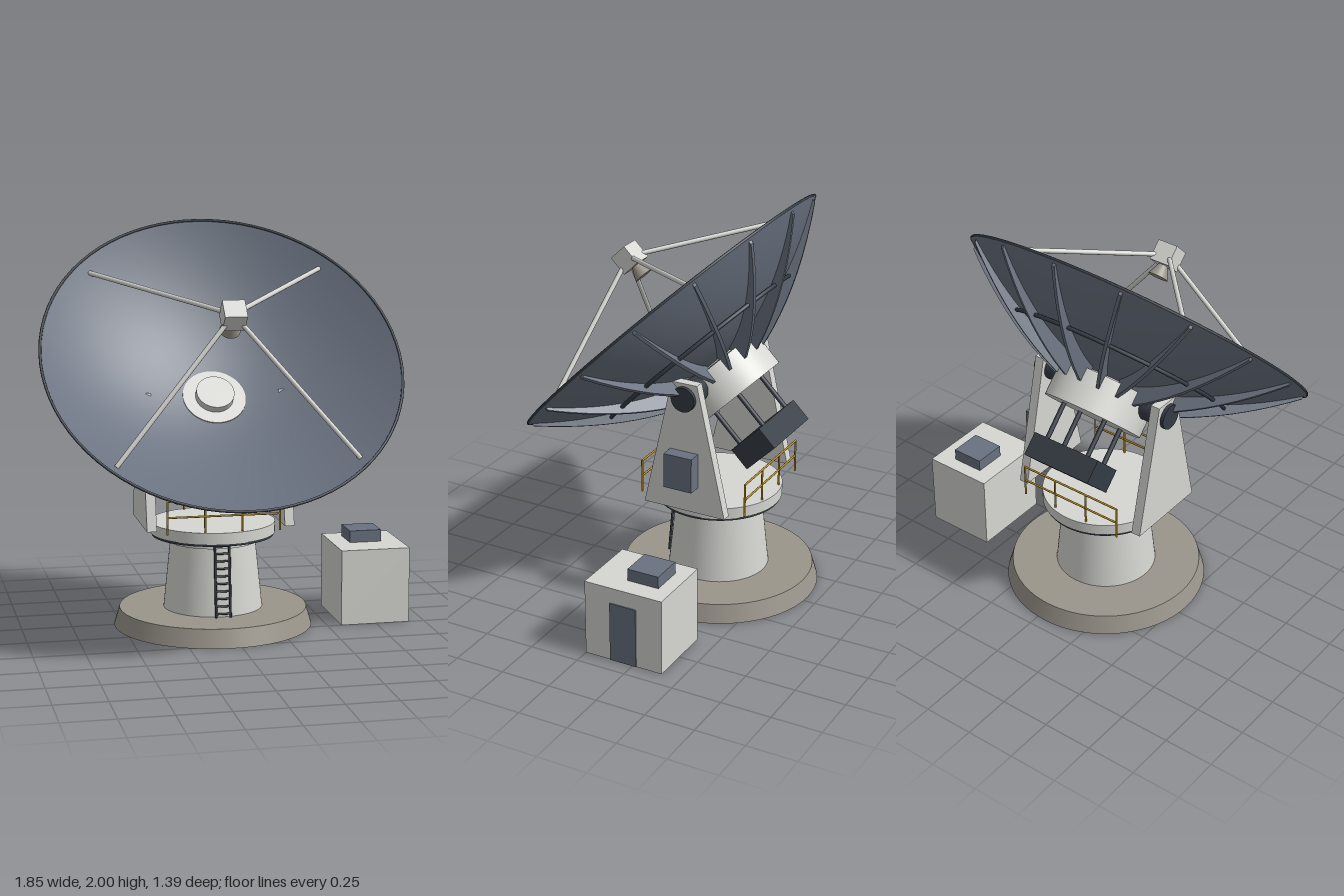
import * as THREE from 'three';

const mat = (name, color, side = THREE.FrontSide) => {
  const m = new THREE.MeshStandardMaterial({ color, side });
  m.name = name;
  return m;
};

export function createModel() {
  const light = mat('light grey paint', 0xd6d6d2);
  const slate = mat('slate', 0x6a7280);
  const dark = mat('dark steel', 0x343b43);
  const concrete = mat('concrete', 0x9a958b);
  const yellow = mat('railing yellow', 0xb58c1e);

  const root = new THREE.Group();
  root.name = 'dishAntenna';
  const group = (name, parent, x = 0, y = 0, z = 0) => {
    const g = new THREE.Group();
    g.name = name;
    g.position.set(x, y, z);
    parent.add(g);
    return g;
  };
  const add = (parent, name, geo, material, x = 0, y = 0, z = 0) => {
    const m = new THREE.Mesh(geo, material);
    m.name = name;
    m.position.set(x, y, z);
    parent.add(m);
    return m;
  };
  const box = (parent, name, material, w, h, d, x, y, z) =>
    add(parent, name, new THREE.BoxGeometry(w, h, d), material, x, y, z);
  // Upright cylinder between two heights
  const drum = (parent, name, material, rBottom, rTop, y0, y1) =>
    add(parent, name, new THREE.CylinderGeometry(rTop, rBottom, y1 - y0, 64), material, 0, (y0 + y1) / 2, 0);
  // Round bar between two points
  const bar = (parent, name, material, a, b, r) => {
    const p = new THREE.Vector3(...a), q = new THREE.Vector3(...b);
    const d = q.clone().sub(p);
    const m = add(parent, name, new THREE.CylinderGeometry(r, r, d.length(), 10), material);
    m.position.copy(p).add(q).multiplyScalar(0.5);
    m.quaternion.setFromUnitVectors(new THREE.Vector3(0, 1, 0), d.normalize());
    return m;
  };

  // Pedestal
  const mount = group('mount', root, -0.045, 0, -0.198);
  drum(mount, 'foundation', concrete, 0.495, 0.468, 0, 0.09);
  drum(mount, 'column', light, 0.247, 0.212, 0.09, 0.43);
  drum(mount, 'collar', light, 0.222, 0.222, 0.425, 0.458);
  drum(mount, 'slewRing', dark, 0.304, 0.304, 0.456, 0.47);
  drum(mount, 'platform', light, 0.31, 0.31, 0.468, 0.524);

  // Ladder leaning on the column
  const ladder = group('ladder', mount);
  for (const s of [-1, 1]) bar(ladder, 'ladderRail', dark, [s * 0.036, 0.09, 0.262], [s * 0.036, 0.46, 0.23], 0.006);
  for (let i = 0; i < 10; i++) {
    const t = (i + 0.5) / 10, y = 0.09 + 0.37 * t, z = 0.262 - 0.032 * t;
    bar(ladder, 'rung', dark, [-0.036, y, z], [0.036, y, z], 0.005);
  }

  // Front and back railings
  for (const z of [-0.278, 0.278]) {
    const rail = group('railing', mount, 0, 0, z);
    for (let i = 0; i < 4; i++) {
      const x = -0.278 + i * 0.1853;
      bar(rail, 'railPost', yellow, [x, 0.52, 0], [x, 0.685, 0], 0.005);
    }
    for (const y of [0.604, 0.684]) bar(rail, 'railBar', yellow, [-0.28, y, 0], [0.28, y, 0], 0.005);
  }

  // Yoke arms with trunnions
  const armShape = new THREE.Shape([[-0.215, 0.524], [0.215, 0.524], [0.067, 1.182], [-0.067, 1.182]]
    .map(p => new THREE.Vector2(...p)));
  const armGeo = new THREE.ExtrudeGeometry(armShape, { depth: 0.048, bevelEnabled: false });
  armGeo.translate(0, 0, -0.024).rotateY(Math.PI / 2);
  for (const s of [-1, 1]) {
    add(mount, 'yokeArm', armGeo, light, s * 0.343);
    bar(mount, 'trunnion', dark, [s * 0.22, 1.105, 0], [s * 0.385, 1.105, 0], 0.062).geometry =
      new THREE.CylinderGeometry(0.062, 0.062, 0.165, 32);
  }
  box(mount, 'driveCabinet', slate, 0.068, 0.175, 0.148, 0.4, 0.747, 0);

  // Tilting assembly: local y is the dish axis
  const tilt = group('tiltingDish', mount, 0, 1.105, 0);
  tilt.rotation.x = Math.PI / 4;
  const R = 0.878;
  const bowl = r => 0.05 + 0.426 * r * r;
  const front = [], back = [];
  for (let i = 0; i <= 24; i++) {
    const r = (R * i) / 24;
    back.push(new THREE.Vector2(r, bowl(r) - 0.01));
    front.unshift(new THREE.Vector2(r, bowl(r)));
  }
  add(tilt, 'dishFront', new THREE.LatheGeometry(front, 80), slate);
  add(tilt, 'dishBack', new THREE.LatheGeometry(back, 80), slate);
  const hoop = (name, radius, tube, y) =>
    add(tilt, name, new THREE.TorusGeometry(radius, tube, 8, 80).rotateX(Math.PI / 2), dark, 0, y);
  hoop('rim', R - 0.002, 0.007, bowl(R) - 0.004);
  hoop('backRing', 0.55, 0.01, bowl(0.55) - 0.028);

  // Sixteen tapered ribs behind the bowl
  const ribTop = [], ribBottom = [];
  for (let i = 0; i <= 10; i++) {
    const t = i / 10, r = 0.2 + 0.665 * t;
    ribTop.unshift(new THREE.Vector2(r, bowl(r) - 0.004));
    ribBottom.push(new THREE.Vector2(r, bowl(r) - 0.11 + 0.085 * t));
  }
  const ribGeo = new THREE.ExtrudeGeometry(new THREE.Shape([...ribBottom, ...ribTop]), { depth: 0.016, bevelEnabled: false });
  ribGeo.translate(0, 0, -0.008);
  for (let i = 0; i < 16; i++) add(tilt, 'rib', ribGeo, slate).rotation.y = (i * Math.PI) / 8;

  // Hub and centre cap
  drum(tilt, 'hub', light, 0.248, 0.248, -0.142, 0.04);
  drum(tilt, 'centrePlate', light, 0.156, 0.156, 0.045, 0.066);
  drum(tilt, 'centreCap', light, 0.094, 0.094, 0.06, 0.106);

  // Feed box, horn and four struts
  box(tilt, 'feedBox', light, 0.108, 0.102, 0.102, 0, 0.702, 0);
  drum(tilt, 'feedHorn', concrete, 0.05, 0.02, 0.59, 0.66);
  for (const sx of [-1, 1]) for (const sz of [-1, 1])
    bar(tilt, 'strut', light, [sx * 0.579, bowl(0.817), sz * 0.579], [sx * 0.03, 0.69, sz * 0.03], 0.012);

  // Counterweight on four rods
  box(tilt, 'counterweight', dark, 0.377, 0.118, 0.202, 0, -0.385, 0);
  for (const sx of [-1, 1]) for (const sz of [-1, 1])
    bar(tilt, 'counterweightRod', dark, [sx * 0.12, -0.13, sz * 0.085], [sx * 0.12, -0.34, sz * 0.085], 0.012);

  // Equipment shelter
  const shelter = group('shelter', root, 0.745, 0, -0.202);
  box(shelter, 'shelterBody', light, 0.35, 0.38, 0.404, 0, 0.19, 0);
  box(shelter, 'shelterDoor', slate, 0.008, 0.3, 0.137, 0.177, 0.152, 0);
  box(shelter, 'roofUnit', slate, 0.163, 0.06, 0.162, -0.006, 0.41, -0.05);
  return root;
}
